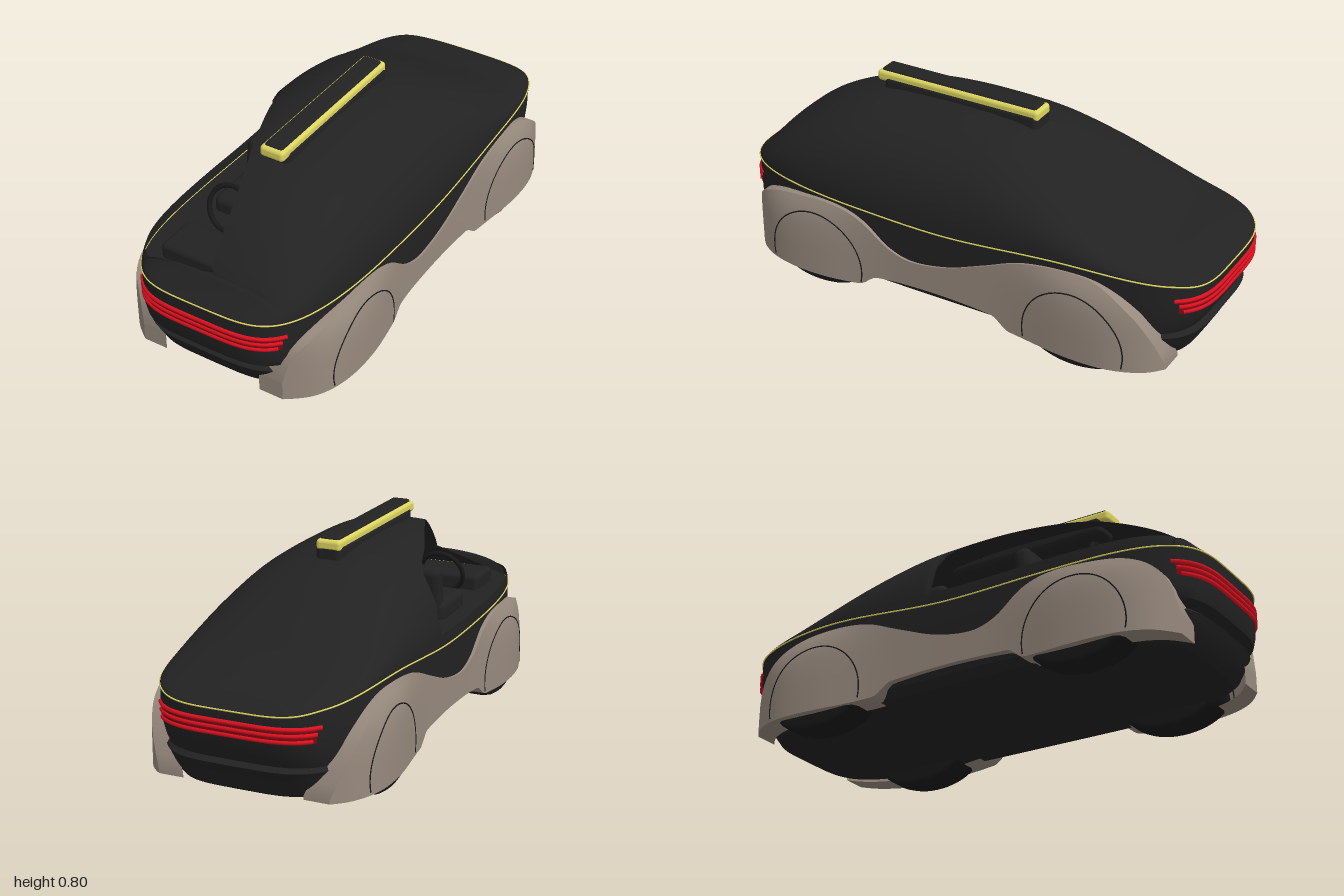
import * as THREE from 'three';
import { toCreasedNormals } from 'three/addons/utils/BufferGeometryUtils.js';
import { RoundedBoxGeometry } from 'three/addons/geometries/RoundedBoxGeometry.js';

const mat = (name, color, side = THREE.FrontSide) => {
  const m = new THREE.MeshStandardMaterial({ color, side });
  m.name = name;
  return m;
};

// Smooth function through [z, value] points (ascending z)
function curve(p) {
  const slope = i => {
    const a = p[Math.max(i - 1, 0)], b = p[Math.min(i + 1, p.length - 1)];
    return (b[1] - a[1]) / (b[0] - a[0]);
  };
  return z => {
    if (z <= p[0][0]) return p[0][1];
    let i = 0;
    while (i < p.length - 2 && z > p[i + 1][0]) i++;
    const h = p[i + 1][0] - p[i][0], t = Math.min((z - p[i][0]) / h, 1), t2 = t * t, t3 = t2 * t;
    return (2 * t3 - 3 * t2 + 1) * p[i][1] + (t3 - 2 * t2 + t) * h * slope(i)
      + (3 * t2 - 2 * t3) * p[i + 1][1] + (t3 - t2) * h * slope(i + 1);
  };
}

// Quad grid from f(u, v) -> [x, y, z] with integer u, v
function grid(nu, nv, f, flip = false) {
  const pos = [], idx = [];
  for (let u = 0; u <= nu; u++) for (let v = 0; v <= nv; v++) pos.push(...f(u, v));
  for (let u = 0; u < nu; u++) for (let v = 0; v < nv; v++) {
    const a = u * (nv + 1) + v, b = a + nv + 1;
    if (flip) idx.push(a, a + 1, b, b, a + 1, b + 1);
    else idx.push(a, b, a + 1, b, b + 1, a + 1);
  }
  const g = new THREE.BufferGeometry();
  g.setAttribute('position', new THREE.Float32BufferAttribute(pos, 3));
  g.setIndex(idx);
  g.computeVertexNormals();
  return g;
}

// Plan outline, belt line, roof line
const P = 4.2, W = 0.41, N = 2.3;
const plan = z => Math.pow(Math.max(0, 1 - Math.pow(Math.min(Math.abs(z), 1), P)), 1 / P);
const belt = curve([[-1, 0.385], [-0.9, 0.405], [-0.5, 0.42], [0, 0.38], [0.4, 0.385], [0.8, 0.4], [1, 0.405]]);
const roof = curve([[-1, 0.388], [-0.925, 0.435], [-0.71, 0.49], [-0.55, 0.57], [-0.39, 0.65], [-0.2, 0.715],
  [-0.05, 0.738], [0.2, 0.742], [0.47, 0.728], [0.62, 0.69], [0.75, 0.63], [0.87, 0.54], [0.945, 0.46], [1, 0.408]]);
// Inner edge of the open quarter of the cabin
const cut = curve([[-0.05, 0.4], [0, 0.31], [0.2, 0.23], [0.42, 0.14], [0.66, 0.05], [0.91, 0]]);
const OPEN0 = -0.05, OPEN1 = 0.915;

// Side panel outline and swell
const panelTop = curve([[-0.9, 0.075], [-0.86, 0.19], [-0.79, 0.295], [-0.66, 0.375], [-0.525, 0.393], [-0.335, 0.372],
  [-0.175, 0.31], [-0.016, 0.25], [0.145, 0.225], [0.25, 0.255], [0.36, 0.335], [0.465, 0.37], [0.62, 0.372],
  [0.81, 0.34], [0.91, 0.26], [0.935, 0.14]]);
const panelBottom = curve([[-0.9, 0.06], [-0.29, 0.06], [-0.21, 0.107], [0.3, 0.107], [0.38, 0.06], [0.935, 0.06]]);
const swell = curve([[-0.92, 0], [-0.85, 0.04], [-0.72, 0.058], [-0.55, 0.045], [-0.35, 0.015], [-0.2, 0.004],
  [0.2, 0.004], [0.35, 0.015], [0.55, 0.045], [0.74, 0.058], [0.86, 0.045], [0.935, 0.008]]);
const panelX = (z, y) => W * plan(z) + 0.005 + Math.max(0, swell(z)) * Math.max(0, 1 - Math.pow(y / 0.395, 6));

export function createModel() {
  const car = new THREE.Group();
  car.name = 'car';
  const black = mat('bodyBlack', 0x222222, THREE.DoubleSide);
  const taupe = mat('panelTaupe', 0x988a7e, THREE.DoubleSide);
  const yellow = mat('trimYellow', 0xdcd460);
  const red = mat('lightRed', 0xe0101f);
  const deepRed = mat('lightDeepRed', 0x7a0810, THREE.DoubleSide);
  const dark = mat('tyreBlack', 0x191919);
  const add = (name, geo, m, x = 0, y = 0, z = 0) => {
    const mesh = new THREE.Mesh(geo, m);
    mesh.name = name;
    mesh.position.set(x, y, z);
    car.add(mesh);
    return mesh;
  };
  const tube = (name, pts, r, m, closed = false) =>
    add(name, new THREE.TubeGeometry(new THREE.CatmullRomCurve3(pts, closed), pts.length * 2, r, 6, closed), m);

  // Lower body: stacked plan rings [height, front, rear, half width]
  const rings = [[0.06, 0, 0, 0], [0.06, 0.9, 0.91, 0.36], [0.09, 0.93, 0.925, 0.39], [0.15, 0.962, 0.955, 0.4],
    [0.17, 0.972, 0.97, 0.405], [0.185, 0.955, 0.95, 0.405], [0.21, 0.988, 0.965, 0.408], [0.25, 0.998, 0.982, 0.41],
    [0.32, 1, 1, 0.41], [-1, 1, 1, 0.41], [-1, 0, 0, 0]];
  const S = 128;
  const ringPoint = (u, front, rear, w) => {
    const a = (u / S) * Math.PI * 2, z = Math.sin(a);
    return [w * plan(z) * (Math.cos(a) >= 0 ? 1 : -1), z * (z > 0 ? front : rear)];
  };
  add('lowerBody', toCreasedNormals(grid(S, rings.length - 1, (u, v) => {
    const [h, f, r, w] = rings[v], [x, z] = ringPoint(u, f, r, w);
    return [x, h < 0 ? belt(z) : h, z];
  }, true), 0.6), black);

  // Cabin shell, with one front quarter left open
  const section = (z, t) => {
    const c = Math.cos(t), w = W * plan(z);
    return [w * Math.sign(c) * Math.pow(Math.abs(c), 2 / N),
      belt(z) + (roof(z) - belt(z)) * Math.pow(Math.max(0, Math.sin(t)), 2 / N), z];
  };
  const sillAngle = z => Math.PI - Math.asin(Math.pow(Math.min(1, 0.05 / Math.max(roof(z) - belt(z), 0.051)), N / 2));
  const cutAngle = z => {
    if (z < OPEN0 || z > OPEN1) return Math.PI;
    const k = Math.min(1, Math.max(0, cut(z)) / (W * plan(z)));
    return Math.min(Math.PI - Math.acos(Math.pow(k, N / 2)), sillAngle(z));
  };
  add('cabinShell', grid(160, 40, (u, v) => {
    const z = Math.sin((u / 160 - 0.5) * Math.PI);
    return section(z, cutAngle(z) * v / 40);
  }), black);
  add('openingSill', grid(60, 4, (u, v) => {
    const z = OPEN0 - 0.02 + (OPEN1 - OPEN0 + 0.03) * u / 60, a = sillAngle(z);
    return section(z, a + (Math.PI - a) * v / 4);
  }), black);

  // Interior seen through the opening
  add('dashboard', new RoundedBoxGeometry(0.5, 0.09, 0.18, 3, 0.02), black, -0.03, 0.415, 0.75);
  add('seatBase', new RoundedBoxGeometry(0.2, 0.09, 0.24, 3, 0.03), black, -0.19, 0.41, 0.38);
  add('seatBack', new RoundedBoxGeometry(0.17, 0.24, 0.07, 4, 0.03), black, -0.19, 0.48, 0.28).rotation.x = -0.15;
  add('steeringWheel', new THREE.TorusGeometry(0.09, 0.01, 8, 32), dark, -0.16, 0.49, 0.57).rotation.x = -0.35;
  add('rearBench', new RoundedBoxGeometry(0.6, 0.16, 0.12, 3, 0.03), black, 0, 0.45, -0.12);

  // Side panels with wheel covers, mirrored
  for (const s of [1, -1]) {
    const nu = 112, nv = 16;
    add('sidePanel', toCreasedNormals(grid(nu, nv, (u, v) => {
      const k = Math.min(Math.max(u - 1, 0), nu - 2) / (nu - 2);
      const z = -0.9 + 1.835 * k, b = panelBottom(z);
      const y = b + (Math.max(panelTop(z), b) - b) * Math.min(Math.max(v - 1, 0), nv - 2) / (nv - 2);
      const edge = u === 0 || u === nu || v === 0 || v === nv;
      return [s * (panelX(z, y) - (edge ? 0.1 : 0)), y, z];
    }, s > 0), 0.6), taupe);
    for (const zc of [0.577, -0.56]) {
      const arc = [];
      for (let i = 0; i <= 32; i++) {
        const a = -0.2 + (Math.PI + 0.4) * i / 32;
        const z = zc + 0.21 * Math.cos(a), y = 0.112 + 0.21 * Math.sin(a);
        arc.push(new THREE.Vector3(s * panelX(z, y), y, z));
      }
      tube('wheelCoverSeam', arc, 0.0028, dark);

      // Flattened wheel pod with rounded shoulders
      const profile = [[0, -0.073], [0.88, -0.073], [0.96, -0.06], [1, -0.035], [1, 0.035], [0.96, 0.06], [0.88, 0.073], [0, 0.073]];
      const wheel = new THREE.LatheGeometry(profile.map(([x, y]) => new THREE.Vector2(x, y)), 48);
      wheel.rotateZ(Math.PI / 2);
      wheel.scale(1, 0.11, 0.21);
      add('wheel', wheel, dark, s * 0.351, 0.11, zc);
    }
  }

  // Belt trim line around the body
  const trim = [];
  for (let u = 0; u < S; u++) {
    const [x, z] = ringPoint(u, 1.001, 1.001, W + 0.001);
    trim.push(new THREE.Vector3(x, belt(z), z));
  }
  tube('beltTrim', trim, 0.003, yellow, true);

  // Light bars at both ends: three strips over a deep red backing
  const noseZ = x => Math.pow(1 - Math.pow(Math.abs(x) / W, P), 1 / P);
  for (const s of [1, -1]) {
    add('lightBacking', grid(32, 1, (u, v) => {
      const x = (u / 16 - 1) * 0.305;
      return [x, 0.29 + 0.06 * v, s * (noseZ(x) + 0.003)];
    }, s < 0), deepRed);
    for (const [y, half] of [[0.343, 0.316], [0.32, 0.305], [0.297, 0.294]]) {
      const pts = [];
      for (let i = -12; i <= 12; i++) {
        const x = half * i / 12;
        pts.push(new THREE.Vector3(x, y, s * (noseZ(x) + 0.001)));
      }
      tube('lightStrip', pts, 0.0085, red);
    }
  }

  // Roof bar with a yellow band
  add('roofBarBase', new RoundedBoxGeometry(0.11, 0.08, 0.69, 4, 0.025), black, 0, 0.735, 0.15);
  add('roofBarBand', new RoundedBoxGeometry(0.102, 0.045, 0.72, 4, 0.015), yellow, 0, 0.768, 0.165);
  add('roofBarTop', new RoundedBoxGeometry(0.078, 0.03, 0.69, 4, 0.012), black, 0, 0.785, 0.165);
  return car;
}
